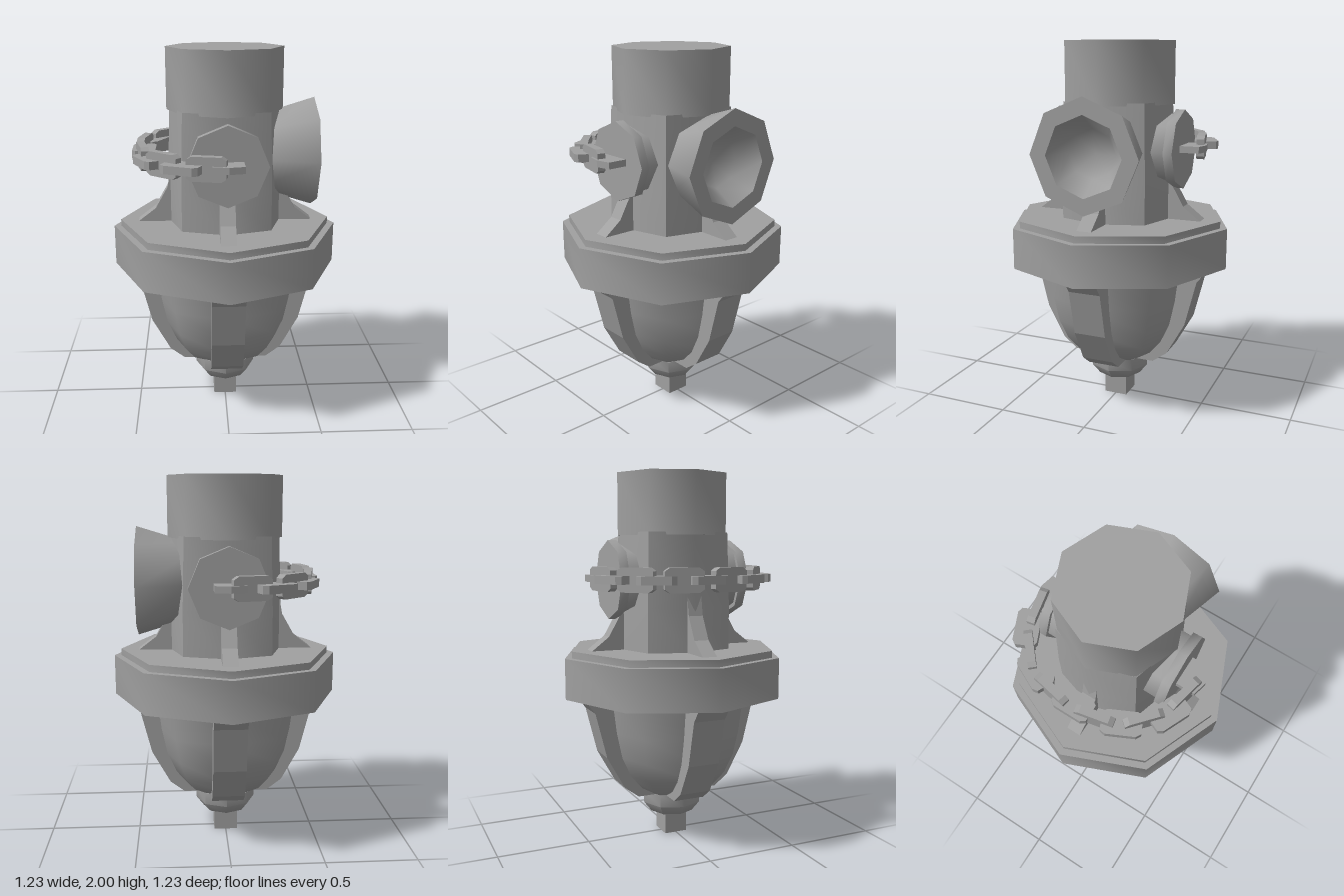
import * as THREE from 'three';
import { toCreasedNormals } from 'three/addons/utils/BufferGeometryUtils.js';

const grey = new THREE.MeshStandardMaterial({ color: 0xa0a0a0 });
grey.name = 'castGrey';

export function createModel() {
  const model = new THREE.Group();
  model.name = 'hydrant';

  const add = (name, geometry) => {
    const mesh = new THREE.Mesh(geometry, grey);
    mesh.name = name;
    model.add(mesh);
    return mesh;
  };

  // Eight-sided turned part; smooth round the sides, sharp at the rims
  const turned = (profile) =>
    new THREE.LatheGeometry(profile.map(([r, y]) => new THREE.Vector2(r, y)), 8);
  const crease = (geometry) => toCreasedNormals(geometry, 0.9);

  // Flat plate cut from an outline in x and y, centred on z
  const plate = (outline, width) => {
    const shape = new THREE.Shape(outline.map(([x, y]) => new THREE.Vector2(x, y)));
    return new THREE.ExtrudeGeometry(shape, { depth: width, bevelEnabled: false })
      .translate(0, 0, -width / 2);
  };

  // Square stem, knob and bowl
  add('stem', new THREE.BoxGeometry(0.13, 0.13, 0.13).translate(0, 0.065, 0));
  add('knob', crease(turned([[0, 0.11], [0.07, 0.11], [0.125, 0.125], [0.168, 0.18],
    [0.168, 0.247], [0, 0.247]])));
  add('bowl', crease(turned([[0, 0.24], [0.16, 0.245], [0.25, 0.295], [0.315, 0.37],
    [0.365, 0.48], [0.395, 0.62], [0.42, 0.82]])));

  // Stepped flange
  add('flange', crease(turned([[0, 0.81], [0.613, 0.81], [0.613, 1.03], [0, 1.03]])));
  add('flangeStep', crease(turned([[0, 1.02], [0.575, 1.02], [0.575, 1.067], [0, 1.067]])));

  // Lower column, slightly squared: its diagonal corners stand out
  const column = turned([[0.308, 1.05], [0.308, 1.3], [0.295, 1.69]]);
  const pos = column.attributes.position;
  for (let i = 0; i < pos.count; i++) {
    const x = pos.getX(i), z = pos.getZ(i);
    if (Math.abs(x) > 0.1 && Math.abs(z) > 0.1) pos.setXYZ(i, x * 1.08, pos.getY(i), z * 1.08);
  }
  add('lowerColumn', crease(column));
  add('upperColumn', crease(turned([[0, 1.675], [0.31, 1.675], [0.31, 2], [0, 2]])));

  // Ribs on the bowl and gussets at the foot of the column
  const rib = plate([[0.1, 0.25], [0.235, 0.25], [0.315, 0.31], [0.415, 0.49],
    [0.478, 0.74], [0.535, 0.815], [0.1, 0.815]], 0.175);
  const gusset = plate([[0.2, 1.05], [0.485, 1.05], [0.475, 1.067], [0.38, 1.14],
    [0.312, 1.26], [0.29, 1.38], [0.2, 1.38]], 0.08);
  for (let i = 0; i < 4; i++) {
    add('bowlRib', rib).rotation.y = i * Math.PI / 2;
    add('columnGusset', gusset).rotation.y = i * Math.PI / 2;
  }

  // Large flared outlet with a hollow mouth
  add('largeOutlet', crease(turned([[0.21, 0.2], [0.295, 0.477], [0.207, 0.477],
    [0.13, 0.36], [0, 0.32]]).rotateZ(-Math.PI / 2))).position.y = 1.44;

  // Small capped outlets, front and back, each with a chain lug
  const pipe = crease(turned([[0.187, 0.1], [0.187, 0.33]]).rotateX(Math.PI / 2));
  const cap = crease(turned([[0, 0.318], [0.209, 0.318], [0.209, 0.367], [0, 0.367]])
    .rotateX(Math.PI / 2));
  const lug = plate([[-0.08, -0.35], [-0.08, -0.47], [0, -0.488], [0.08, -0.47],
    [0.08, -0.35]], 0.035).rotateX(-Math.PI / 2);
  for (const turn of [0, Math.PI]) {
    add('outletPipe', pipe).position.y = 1.44;
    add('outletCap', cap).position.y = 1.44;
    add('chainLug', lug).position.y = 1.45;
    for (const part of model.children.slice(-3)) part.rotation.y = turn;
  }

  // Chain: flat and upright links by turns, swept round the -x side
  const link = plate([[-0.1, -0.045], [-0.075, -0.062], [0.075, -0.062], [0.1, -0.045],
    [0.1, 0.045], [0.075, 0.062], [-0.075, 0.062], [-0.1, 0.045]], 0.042);
  const flatLink = link.clone().rotateX(-Math.PI / 2);
  // [x, z, angle from x axis, upright]
  const links = [
    [-0.107, 0.43, 0.22, true], [-0.225, 0.415, 0.42, false],
    [-0.32, 0.33, 0.72, true], [-0.392, 0.25, 1.12, false],
    [-0.435, 0.125, 1.37, true],
  ];
  const addLink = (x, z, angle, upright) => {
    const mesh = add('chainLink', upright ? link : flatLink);
    mesh.position.set(x, 1.45, z);
    mesh.rotation.y = angle;
  };
  for (const [x, z, angle, upright] of links) {
    addLink(x, z, -angle, upright);
    addLink(x, -z, angle, upright);
  }
  addLink(-0.432, 0, Math.PI / 2, false);

  return model;
}
